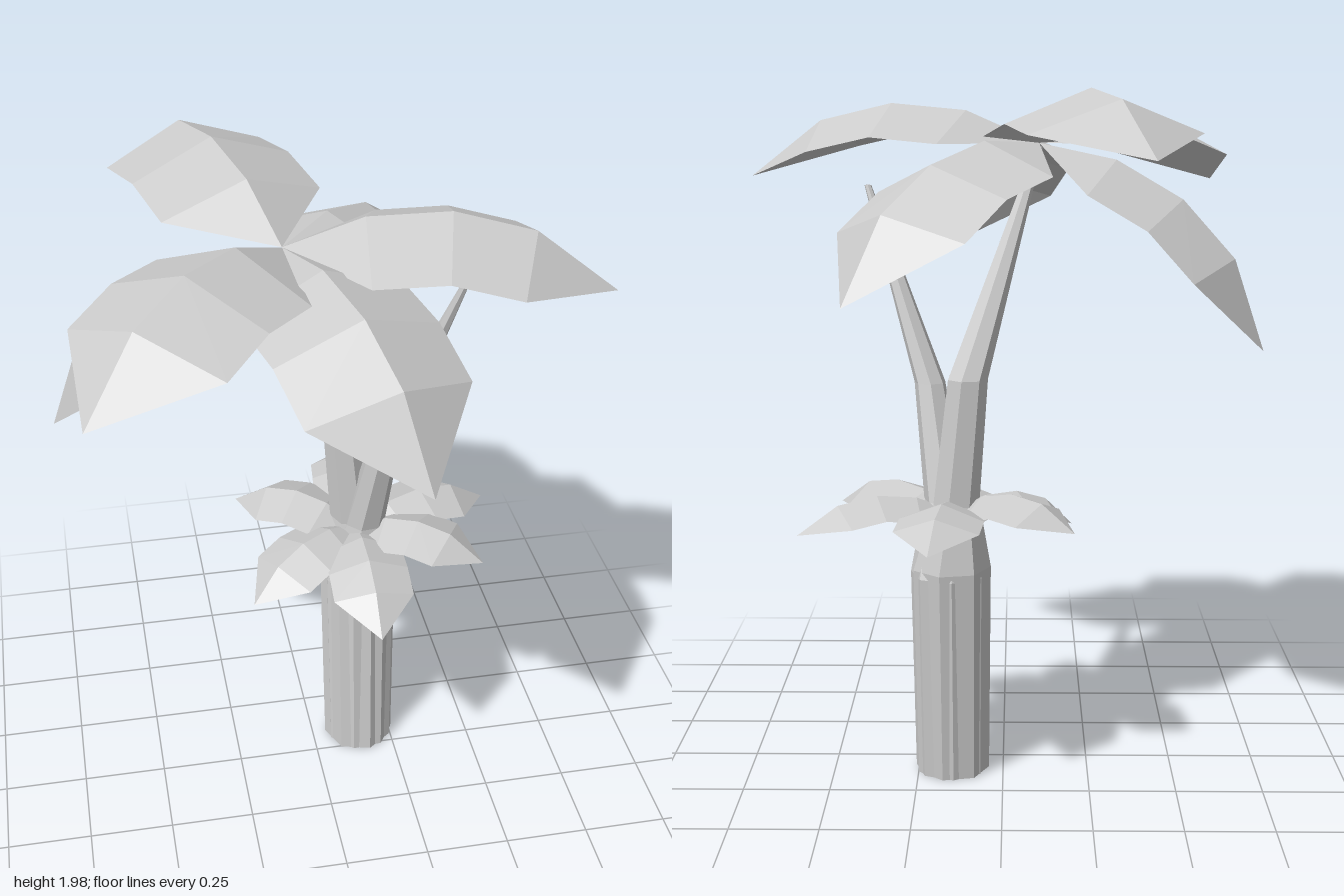
import * as THREE from 'three';

const grey = new THREE.MeshStandardMaterial({ color: 0xcccccc, flatShading: true, side: THREE.DoubleSide });

function buildMesh(name, points, index) {
  const geo = new THREE.BufferGeometry();
  geo.setAttribute('position', new THREE.Float32BufferAttribute(points, 3));
  geo.setIndex(index);
  const flat = geo.toNonIndexed();
  flat.computeVertexNormals();
  const mesh = new THREE.Mesh(flat, grey);
  mesh.name = name;
  return mesh;
}

// Faceted tapering trunk through horizontal rings [x, y, z, radius], capped at the foot
function trunk(name, rings, turn) {
  const sides = 7, points = [], index = [];
  for (const [x, y, z, r] of rings) {
    for (let i = 0; i < sides; i++) {
      const a = turn + (i / sides) * Math.PI * 2;
      points.push(x + r * Math.sin(a), y, z + r * Math.cos(a));
    }
  }
  for (let k = 0; k < rings.length - 1; k++) {
    for (let i = 0; i < sides; i++) {
      const a = k * sides + i, b = k * sides + (i + 1) % sides;
      index.push(a, b, b + sides, a, b + sides, a + sides);
    }
  }
  for (let i = 1; i < sides - 1; i++) index.push(0, i + 1, i);
  return buildMesh(name, points, index);
}

// Arched frond along +x with a raised midrib; pitch is the starting slope in degrees
function frond(name, pitch) {
  const steps = [0.23, 0.22, 0.22, 0.27], bend = [0, -18, -36, -60];
  const slope = bend.map((b) => THREE.MathUtils.degToRad(pitch + b));
  const halfWidth = 0.235, drop = 0.09;
  const points = [0, 0, 0];
  let x = 0, y = 0;
  steps.forEach((len, i) => {
    x += len * Math.cos(slope[i]);
    y += len * Math.sin(slope[i]);
    if (i === 3) return;
    // ridge, then both edges dropped along the local normal
    const t = (slope[i] + slope[i + 1]) / 2;
    const ex = x + drop * Math.sin(t), ey = y - drop * Math.cos(t);
    points.push(x, y, 0, ex, ey, halfWidth, ex, ey, -halfWidth);
  });
  points.push(x, y, 0);
  const index = [0, 2, 1, 0, 1, 3];
  for (let k = 1; k < 7; k += 3) {
    index.push(k, k + 1, k + 4, k, k + 4, k + 3);
    index.push(k, k + 3, k + 5, k, k + 5, k + 2);
  }
  index.push(7, 8, 10, 7, 10, 9);
  return buildMesh(name, points, index);
}

// Fronds fanned round a centre: [heading in degrees from +x towards +z, pitch, length scale]
function crown(name, centre, scale, fronds) {
  const group = new THREE.Group();
  group.name = name;
  group.position.set(...centre);
  fronds.forEach(([heading, pitch, stretch], i) => {
    const leaf = frond(`${name}Frond${i + 1}`, pitch);
    leaf.rotation.y = -THREE.MathUtils.degToRad(heading);
    leaf.scale.set(scale * stretch, scale, scale);
    group.add(leaf);
  });
  return group;
}

export function createModel() {
  const palm = new THREE.Group();
  palm.name = 'palmTree';

  // Two stems share the foot and part above the lower leaves
  palm.add(trunk('mainTrunk', [
    [0.15, 0, -0.08, 0.108], [0.15, 0.64, -0.13, 0.115], [0.135, 0.83, -0.14, 0.068],
    [0.1, 1.19, -0.145, 0.058], [-0.1, 1.82, 0.05, 0.012],
  ], 0.2));
  palm.add(trunk('sideTrunk', [
    [0.155, 0, -0.08, 0.105], [0.155, 0.62, -0.125, 0.112], [0.165, 0.83, -0.1, 0.062],
    [0.21, 1.16, -0.035, 0.045], [0.39, 1.71, 0.09, 0.01],
  ], 0.55));

  // Large crown at the top of the main stem
  palm.add(crown('topCrown', [-0.1, 1.83, 0.055], 1, [
    [13, 23, 1.01], [71, 7, 0.94], [133, 21, 0.95],
    [195, -11, 0.99], [252, 29, 0.99], [311, 3, 1],
  ]));

  // Small ring of leaves where the stems part
  palm.add(crown('lowerCrown', [0.14, 0.8, -0.12], 0.5, [
    [-17, 25, 1.05], [33, 26, 0.95], [91, 17, 1.04],
    [148, 17, 0.96], [212, 29, 0.92], [277, 29, 1.01],
  ]));

  return palm;
}
